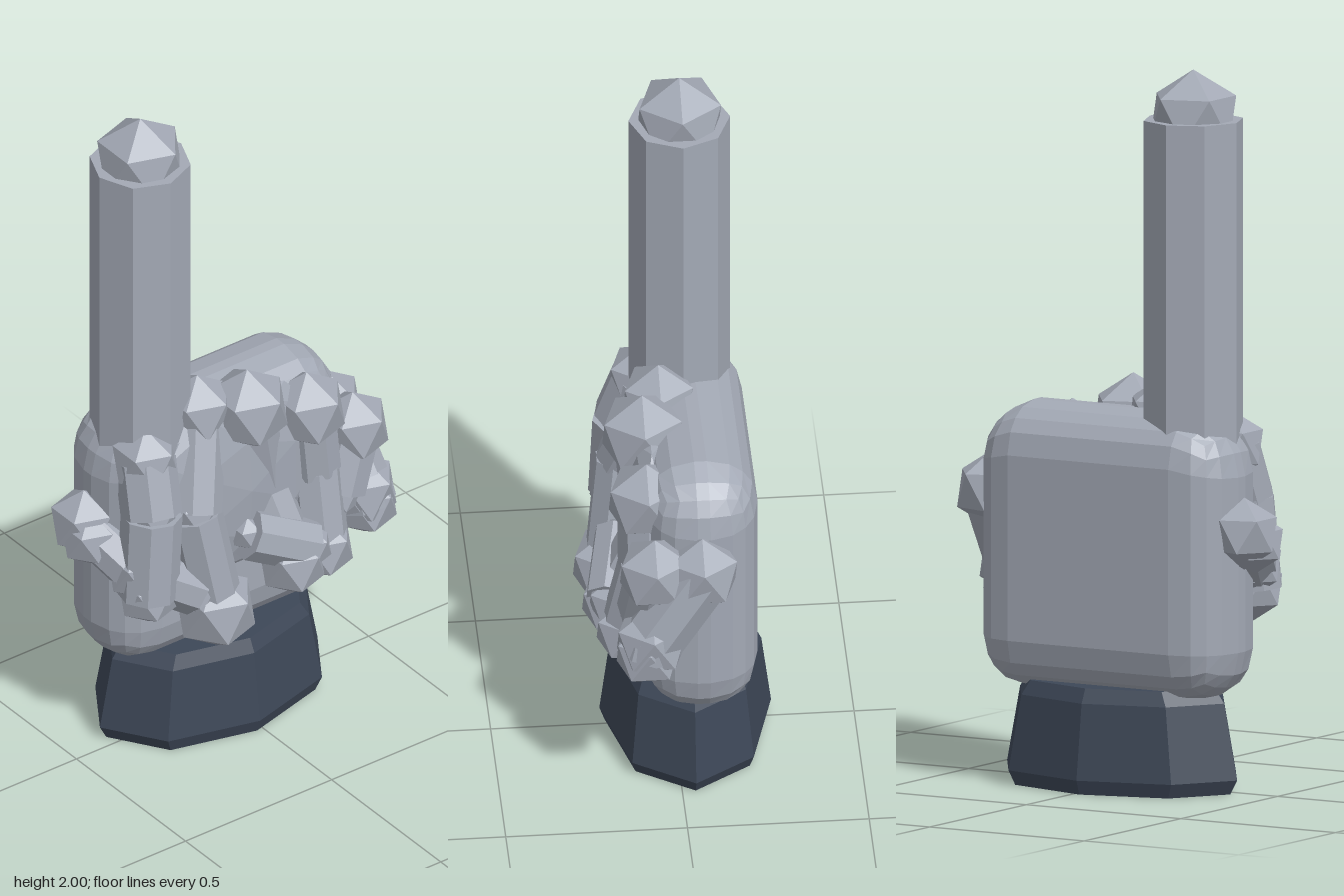
import * as THREE from 'three';
import { RoundedBoxGeometry } from 'three/addons/geometries/RoundedBoxGeometry.js';

export function createModel() {
  const model = new THREE.Group();
  model.name = 'pointingHand';
  const skin = new THREE.MeshStandardMaterial({ name: 'greySkin', color: 0xa3a9b5, flatShading: true });
  const cloth = new THREE.MeshStandardMaterial({ name: 'darkCuff', color: 0x3d4757, flatShading: true });

  const add = (name, geometry, material, parent = model) => {
    const mesh = new THREE.Mesh(geometry, material);
    mesh.name = name;
    parent.add(mesh);
    return mesh;
  };
  // faceted knuckle with one corner pointing straight up
  const knuckle = (name, [x, y, z, r], parent) => {
    const g = new THREE.IcosahedronGeometry(r, 0);
    g.rotateZ(-Math.atan(2 / (1 + Math.sqrt(5))));
    add(name, g, skin, parent).position.set(x, y, z);
  };
  // eight-sided bone between two points
  const bone = (name, a, b, r, parent) => {
    const p = new THREE.Vector3(a[0], a[1], a[2]);
    const q = new THREE.Vector3(b[0], b[1], b[2]);
    const d = q.clone().sub(p);
    const mesh = add(name, new THREE.CylinderGeometry(r, r, d.length(), 8), skin, parent);
    mesh.position.copy(p).add(q).multiplyScalar(0.5);
    mesh.quaternion.setFromUnitVectors(new THREE.Vector3(0, 1, 0), d.normalize());
  };

  // cuff: bevelled octagon, wider than deep
  const profile = [[0, 0], [0.35, 0], [0.372, 0.04], [0.33, 0.25], [0.3, 0.29], [0, 0.29]]
    .map(([r, y]) => new THREE.Vector2(r, y));
  const cuff = add('cuff', new THREE.LatheGeometry(profile, 8), cloth);
  cuff.scale.z = 0.635;
  cuff.position.set(-0.02, 0, -0.037);

  // palm: bevelled block whose top falls away towards the little finger
  const palmGeo = new RoundedBoxGeometry(0.8, 0.81, 0.315, 2, 0.14);
  palmGeo.translate(-0.02, 0.665, -0.057);
  const pos = palmGeo.attributes.position;
  for (let i = 0; i < pos.count; i++) {
    const x = pos.getX(i), y = pos.getY(i);
    if (y > 0.8) pos.setY(i, y - Math.max(0, Math.abs(x + 0.02) - 0.18) * 0.2);
  }
  add('palm', palmGeo, skin);
  const hollow = add('palmFront', new THREE.IcosahedronGeometry(1, 1), skin);
  hollow.scale.set(0.32, 0.3, 0.08);
  hollow.position.set(-0.01, 0.77, 0.07);

  // raised index finger
  const index = new THREE.Group();
  index.name = 'indexFinger';
  model.add(index);
  bone('indexShaft', [-0.252, 0.75, -0.04], [-0.252, 1.862, -0.04], 0.14, index);
  knuckle('indexTip', [-0.252, 1.868, -0.04, 0.132], index);

  // folded fingers and thumb: joints as x, y, z, radius, joined by bones
  const folded = {
    littleFinger: { r: 0.09, joints: [[0.39, 0.79, -0.05, 0.11], [0.405, 0.58, 0.09, 0.11], [0.41, 0.54, 0.1, 0.1]] },
    littleKnuckle: { r: 0.08, joints: [[0.385, 0.79, 0.08, 0.11], [0.32, 0.62, 0.1, 0.08]] },
    ringFinger: { r: 0.08, joints: [[0.22, 0.92, 0.09, 0.118], [0.24, 0.72, 0.09, 0.08], [0.23, 0.49, 0.14, 0.1]] },
    middleFinger: { r: 0.08, joints: [[0.02, 1.0, 0.085, 0.125], [0.08, 0.72, 0.06, 0.08], [0.11, 0.5, 0.17, 0.1]] },
    innerFinger: { r: 0.08, joints: [[-0.11, 1.02, 0.03, 0.11], [-0.19, 0.76, 0.12, 0.08], [-0.14, 0.44, 0.155, 0.122]] },
    outerFinger: { r: 0.085, joints: [[-0.31, 0.95, 0.06, 0.1], [-0.325, 0.8, 0.11, 0.08], [-0.345, 0.55, 0.12, 0.09]] },
    thumb: { r: 0.075, joints: [[-0.43, 0.73, -0.06, 0.1], [-0.36, 0.62, 0.09, 0.09], [-0.2, 0.52, 0.14, 0.08]] },
    thumbEnd: { r: 0.075, joints: [[-0.02, 0.63, 0.14, 0.05], [0.16, 0.54, 0.18, 0.07]] },
  };
  for (const [name, { r, joints }] of Object.entries(folded)) {
    const finger = new THREE.Group();
    finger.name = name;
    model.add(finger);
    joints.forEach((j, i) => {
      knuckle(name + 'Joint', j, finger);
      if (i) bone(name + 'Bone', joints[i - 1], j, r, finger);
    });
  }
  knuckle('thumbBase', [-0.44, 0.7, -0.02, 0.085], model);
  return model;
}
